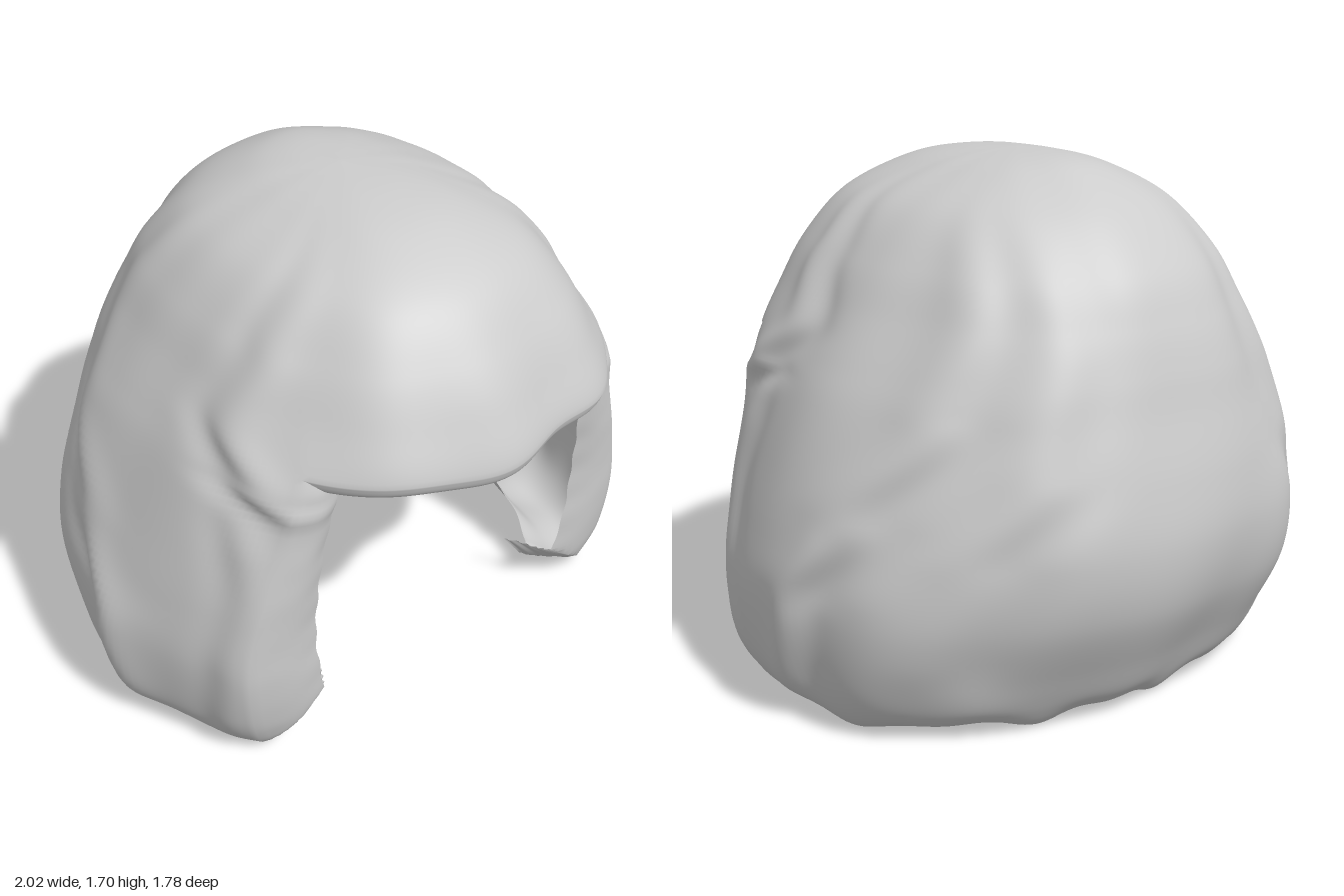
import * as THREE from 'three';
import { mergeGeometries, mergeVertices } from 'three/addons/utils/BufferGeometryUtils.js';

// Height, half width, front depth and back depth from crown to under-curl
const PROFILE = [
  [1.705, 0, 0, 0], [1.692, 0.12, 0.24, 0.22], [1.65, 0.26, 0.44, 0.36], [1.55, 0.45, 0.63, 0.525],
  [1.4, 0.585, 0.755, 0.665], [1.25, 0.675, 0.835, 0.74], [1.12, 0.75, 0.885, 0.785],
  [1.0, 0.81, 0.86, 0.815], [0.8, 0.885, 0.83, 0.865], [0.6, 0.945, 0.82, 0.885], [0.4, 0.98, 0.82, 0.845],
  [0.2, 0.965, 0.8, 0.74], [0.08, 0.92, 0.77, 0.67], [0.025, 0.84, 0.75, 0.6],
  [0.06, 0.73, 0.73, 0.52], [0.16, 0.63, 0.72, 0.45],
];
const HEM = 6;                    // profile row of the fringe hem
const END = PROFILE.length - 1;
// Half width of the face opening for each row below the fringe
const OPENING = [0.5, 0.51, 0.545, 0.56, 0.555, 0.52, 0.5, 0.48, 0.46, 0.43];

// Wavy locks: [height, degrees from the front] along each groove, width, strength
const LOCKS = [
  { path: [[1.65, 52], [1.4, 62], [1.2, 69], [1.05, 60], [0.95, 50]], width: 8, amp: 0.055 },
  { path: [[1.6, 122], [1.3, 127], [1.0, 120], [0.7, 104], [0.45, 94], [0.05, 89]], width: 9, amp: 0.045 },
  { path: [[1.5, 146], [1.2, 148], [0.85, 142], [0.6, 130], [0.2, 122]], width: 9, amp: 0.032 },
  { path: [[1.0, 62], [0.7, 59], [0.4, 62], [0.1, 64]], width: 5, amp: 0.025 },
  { path: [[0.65, 98], [0.4, 91], [0.1, 88]], width: 5, amp: 0.03 },
];

const rad = THREE.MathUtils.degToRad;
const lerp = THREE.MathUtils.lerp;
const smooth = THREE.MathUtils.smoothstep;

function spline(list, t) {
  const i = Math.min(Math.floor(t), list.length - 2), f = t - i;
  const p = (k) => list[Math.max(0, Math.min(list.length - 1, k))];
  const cubic = (a, b, c, d) =>
    b + 0.5 * f * (c - a + f * (2 * a - 5 * b + 4 * c - d + f * (3 * (b - c) + d - a)));
  const q = [p(i - 1), p(i), p(i + 1), p(i + 2)];
  return Array.isArray(q[0]) ? q[0].map((_, k) => cubic(...q.map((r) => r[k]))) : cubic(...q);
}

// Radius factor: grooves along the locks plus soft waves
function waves(a, y) {
  const side = Math.abs(a) * 180 / Math.PI;
  let sum = 0.008 * Math.sin(7 * a + 3 * y) + 0.006 * Math.sin(11 * a - 4 * y + 1);
  for (const { path, width, amp } of LOCKS) {
    const hi = path[0][0], lo = path[path.length - 1][0];
    const fade = smooth(y, lo - 0.12, lo + 0.1) * (1 - smooth(y, hi - 0.15, hi + 0.08));
    if (fade === 0) continue;
    let k = 0;
    while (k < path.length - 2 && y < path[k + 1][0]) k++;
    const f = THREE.MathUtils.clamp((path[k][0] - y) / (path[k][0] - path[k + 1][0]), 0, 1);
    const mid = lerp(path[k][1], path[k + 1][1], smooth(f, 0, 1)) + (a > 0 ? 4 : 0);
    const d = (side - mid) / width;
    sum -= amp * fade * d * Math.exp(-d * d);
  }
  return 1 + sum;
}

// Point of the outer surface at angle a (0 = front, positive = left) and row t
function surface(a, t) {
  const [y, w, f, b] = spline(PROFILE, t);
  if (t === 0) return [0, y, 0];
  const s = Math.sin(a), c = Math.cos(a);
  const p = 2.08 + 0.22 * smooth(c, 0, 0.5);
  const depth = c > 0 ? f : b;
  const r = waves(a, y) / Math.pow(Math.pow(Math.abs(s) / w, p) + Math.pow(Math.abs(c) / depth, p), 1 / p);
  // Ragged hem, and an under-curl with a notch at the nape
  const ragged = smooth(t, 11.5, 13) * (0.014 * Math.sin(9 * a + 1) + 0.008 * Math.sin(17 * a));
  const curl = -0.06 * smooth(t, 14, 15) * Math.cos(5.5 * (Math.PI - Math.abs(a)));
  return [r * s, Math.max(0, y + ragged + curl), r * c];
}

const startAngle = (t) => rad(47 + 9 * smooth(t, HEM, HEM + 4));
const sideAngle = (u, t) => lerp(startAngle(t), 2 * Math.PI - startAngle(t), u);
const wrapAngle = (a) => (a > Math.PI ? a - 2 * Math.PI : a);

// Grid surface from a point rule, rows running down and columns toward the left
function patch(cols, rows, rule) {
  const pos = [], idx = [];
  for (let r = 0; r <= rows; r++)
    for (let c = 0; c <= cols; c++) pos.push(...rule(c, r));
  for (let r = 0; r < rows; r++)
    for (let c = 0; c < cols; c++) {
      const a = r * (cols + 1) + c, d = a + cols + 1;
      if (r > 0 || pos[a * 3] !== pos[a * 3 + 3] || pos[a * 3 + 2] !== pos[a * 3 + 5]) idx.push(a, d, a + 1);
      idx.push(a + 1, d, d + 1);
    }
  const g = new THREE.BufferGeometry();
  g.setAttribute('position', new THREE.Float32BufferAttribute(pos, 3));
  g.setIndex(idx);
  return g;
}

export function createModel() {
  const group = new THREE.Group();
  group.name = 'hair';
  const hairGrey = new THREE.MeshStandardMaterial({ color: 0xcccccc, side: THREE.DoubleSide });
  hairGrey.name = 'hairGrey';

  const STEP = 8, SIDE = 180, FRONT = 64, WRAP = 8;
  const crownRows = HEM * STEP;
  const frontAngle = (c) => lerp(-startAngle(0), startAngle(0), c / FRONT);

  // Fringe strands swell and the hem dips a little across the brow
  const fringePoint = (c, t) => {
    const a = frontAngle(c), [x, y, z] = surface(a, t);
    const edge = Math.cos((c / FRONT - 0.5) * Math.PI);
    const swell = 1 + 0.012 * smooth(t, 2, HEM) * edge * Math.sin(13 * a + 2 * y);
    return [x * swell, y + smooth(t, 4.5, HEM) * edge * (0.01 * Math.sin(9 * a) - 0.018), z * swell];
  };

  // Crown over the sides and back
  const crown = patch(SIDE, crownRows, (c, r) => surface(wrapAngle(sideAngle(c / SIDE, r / STEP)), r / STEP));
  // Crown over the brow
  const fringe = patch(FRONT, crownRows, (c, r) => fringePoint(c, r / STEP));
  // Underside of the fringe, turning back toward the forehead
  const underRows = [[1, 0], [0.985, -0.035], [0.95, -0.06], [0.9, -0.085], [0.85, -0.105], [0.81, -0.108]];
  const under = patch(FRONT, 20, (c, r) => {
    const [x, y, z] = fringePoint(c, HEM);
    const [s, dy] = spline(underRows, r / 4);
    return [x * s, y + dy, z * s];
  });

  // Long sides and back, with front edges turned in around the face
  const skirt = patch(SIDE + 2 * WRAP, (END - HEM) * STEP, (c, r) => {
    const t = HEM + r / STEP;
    const u = THREE.MathUtils.clamp((c - WRAP) / SIDE, 0, 1);
    const q = surface(wrapAngle(sideAngle(u, t)), t);
    const k = Math.max(WRAP - c, c - WRAP - SIDE, 0) / WRAP;
    if (k > 0) {
      const inner = spline(OPENING, t - HEM) + 0.004 * Math.sin(t * 9);
      q[0] = lerp(q[0], (u < 0.5 ? 1 : -1) * inner, k);
      q[1] = Math.max(q[1], 0.02 + 0.18 * k);
      q[2] += 0.035 * Math.sin(k * Math.PI * 0.85);
    }
    return q;
  });

  // Weld the patches so the shading runs smoothly across them
  const shell = mergeVertices(mergeGeometries([crown, fringe, under, skirt]), 1e-4);
  shell.computeVertexNormals();
  const mesh = new THREE.Mesh(shell, hairGrey);
  mesh.name = 'hairShell';
  group.add(mesh);
  return group;
}
